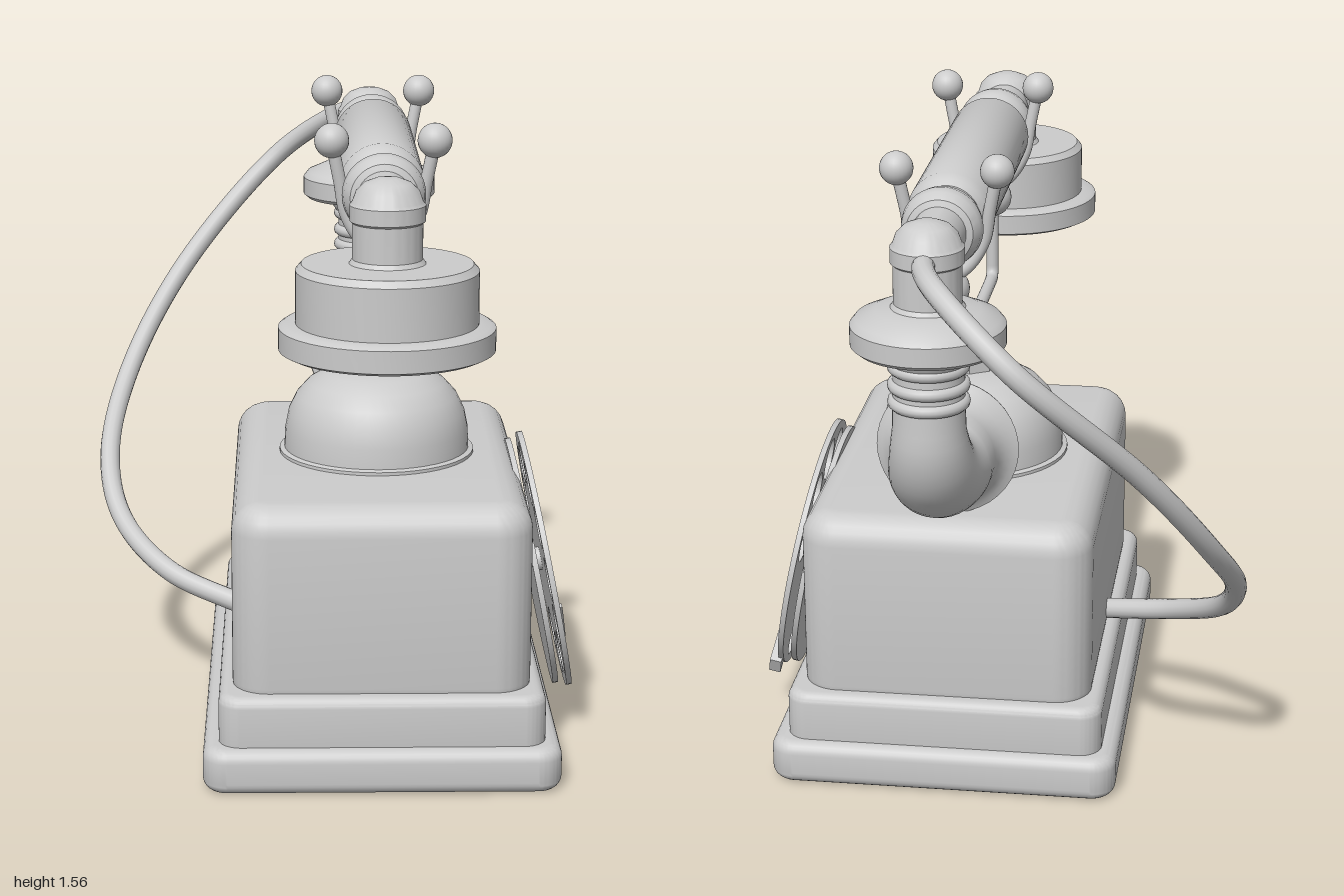
import * as THREE from 'three';
import { toCreasedNormals } from 'three/addons/utils/BufferGeometryUtils.js';

const material = new THREE.MeshStandardMaterial({ color: 0xcccccc });
const V = (x, y, z) => new THREE.Vector3(x, y, z);

function add(parent, name, geometry, x = 0, y = 0, z = 0) {
  const mesh = new THREE.Mesh(geometry, material);
  mesh.name = name;
  mesh.position.set(x, y, z);
  parent.add(mesh);
  return mesh;
}

// Turned part from [radius, height] pairs, listed bottom to top
function turned(profile, segments = 48) {
  const points = profile.map(([r, y]) => new THREE.Vector2(r, y));
  return toCreasedNormals(new THREE.LatheGeometry(points, segments), 0.6);
}

// Rounded slab standing on y = 0, with softened edges
function slab(w, h, d, corner, bevel) {
  const x = w / 2 - bevel, y = d / 2 - bevel, c = corner;
  const s = new THREE.Shape();
  s.moveTo(-x + c, -y);
  s.lineTo(x - c, -y).absarc(x - c, -y + c, c, -Math.PI / 2, 0);
  s.lineTo(x, y - c).absarc(x - c, y - c, c, 0, Math.PI / 2);
  s.lineTo(-x + c, y).absarc(-x + c, y - c, c, Math.PI / 2, Math.PI);
  s.lineTo(-x, -y + c).absarc(-x + c, -y + c, c, Math.PI, Math.PI * 1.5);
  const g = new THREE.ExtrudeGeometry(s, {
    depth: h - 2 * bevel, bevelSize: bevel, bevelThickness: bevel, bevelSegments: 6, curveSegments: 8,
  });
  g.rotateX(-Math.PI / 2).translate(0, bevel, 0);
  return toCreasedNormals(g, 0.5);
}

const wire = (points, radius, segments = 48) =>
  new THREE.TubeGeometry(new THREE.CatmullRomCurve3(points), segments, radius, 14);

// Flat plate in the dial plane, facing +x
function plate(shape, depth) {
  const g = new THREE.ExtrudeGeometry(shape, { depth, bevelEnabled: false, curveSegments: 32 });
  return toCreasedNormals(g.rotateY(Math.PI / 2), 0.5);
}

function disc(radius) {
  const s = new THREE.Shape();
  s.absarc(0, 0, radius, 0, Math.PI * 2);
  return s;
}

// Flared elbow: rings swept down, round a bend and forward, then back inside the mouth
function hornGeometry() {
  const rings = [[-0.625, 1.2, 0, 0.083], [-0.625, 1.06, 0, 0.083]];
  const R = 0.155;
  for (let i = 0; i <= 12; i++) {
    const a = (i / 12) * Math.PI / 2;
    rings.push([-0.47 - R * Math.cos(a), 1.0 - R * Math.sin(a), a, 0.085 + 0.038 * i / 12]);
  }
  const mouth = [[-0.42, 0.124], [-0.395, 0.13], [-0.375, 0.142], [-0.362, 0.158], [-0.355, 0.172],
    [-0.348, 0.17], [-0.35, 0.155], [-0.38, 0.125], [-0.43, 0.095], [-0.48, 0.06], [-0.49, 0]];
  mouth.forEach(([z, r]) => rings.push([z, 0.845, Math.PI / 2, r]));
  const N = 40, position = [], index = [];
  rings.forEach(([z, y, a, r], i) => {
    for (let j = 0; j < N; j++) {
      const t = (j / N) * Math.PI * 2, n = r * Math.sin(t);
      position.push(r * Math.cos(t), y - n * Math.sin(a), z - n * Math.cos(a));
      if (i === rings.length - 1) continue;
      const p = i * N + j, q = i * N + (j + 1) % N;
      index.push(p, p + N, q, q, p + N, q + N);
    }
  });
  const g = new THREE.BufferGeometry();
  g.setAttribute('position', new THREE.Float32BufferAttribute(position, 3));
  g.setIndex(index);
  return toCreasedNormals(g, 0.7);
}

export function createModel() {
  const model = new THREE.Group();
  model.name = 'telephone';
  const phone = new THREE.Group();
  phone.name = 'telephoneBody';
  phone.position.x = 0.11;
  model.add(phone);

  // Stepped case
  add(phone, 'baseSlab', slab(0.85, 0.11, 1.2, 0.03, 0.03), 0, 0, 0.07);
  add(phone, 'middleStep', slab(0.775, 0.15, 1.135, 0.03, 0.025), 0, 0.08, 0.07);
  add(phone, 'case', slab(0.71, 0.51, 1.06, 0.02, 0.07), 0, 0.17, 0.07);

  // Bell with nut and ball
  add(phone, 'bell', turned([[0, 0.67], [0.242, 0.67], [0.242, 0.688], [0.23, 0.692], [0.228, 0.74],
    [0.219, 0.785], [0.2, 0.825], [0.17, 0.858], [0.13, 0.882], [0.08, 0.893], [0, 0.897]]), 0, 0, 0.07);
  add(phone, 'bellNut', new THREE.CylinderGeometry(0.055, 0.055, 0.06, 6).toNonIndexed(), 0, 0.92, 0.07)
    .geometry.computeVertexNormals();
  add(phone, 'bellBall', new THREE.SphereGeometry(0.052, 28, 20), 0, 0.975, 0.07);

  // Cradle: a U-shaped rod with a fork at each end
  const cradle = new THREE.Group();
  cradle.name = 'cradle';
  phone.add(cradle);
  const rod = new THREE.CurvePath();
  const f = 0.455, b = -0.315, low = 1.01, c = 0.035;
  rod.add(new THREE.LineCurve3(V(0, 1.23, f), V(0, low + c, f)));
  rod.add(new THREE.QuadraticBezierCurve3(V(0, low + c, f), V(0, low, f), V(0, low, f - c)));
  rod.add(new THREE.LineCurve3(V(0, low, f - c), V(0, low, b + c)));
  rod.add(new THREE.QuadraticBezierCurve3(V(0, low, b + c), V(0, low, b), V(0, low + c, b)));
  rod.add(new THREE.LineCurve3(V(0, low + c, b), V(0, 1.23, b)));
  add(cradle, 'cradleRod', new THREE.TubeGeometry(rod, 160, 0.016, 14));
  for (const [z, lean] of [[f, 0.012], [b, -0.015]]) {
    add(cradle, 'forkJoint', new THREE.SphereGeometry(0.05, 28, 20), 0, 1.23, z);
    for (const side of [-1, 1]) {
      add(cradle, 'forkArm', wire([V(0, 1.25, z), V(side * 0.05, 1.29, z), V(side * 0.085, 1.35, z),
        V(side * 0.1, 1.43, z + lean / 2), V(side * 0.118, 1.52, z + lean)], 0.015, 32));
      add(cradle, 'forkBall', new THREE.SphereGeometry(0.04, 24, 18), side * 0.118, 1.523, z + lean);
    }
  }

  // Handset
  const handset = new THREE.Group();
  handset.name = 'handset';
  phone.add(handset);
  const handle = turned([[0, -0.64], [0.063, -0.64], [0.063, -0.455], [0.078, -0.45], [0.092, -0.43],
    [0.096, -0.405], [0.09, -0.375], [0.078, -0.36], [0.078, -0.33], [0.09, -0.315], [0.1, -0.295],
    [0.1, 0.41], [0.09, 0.43], [0.078, 0.445], [0.078, 0.475], [0.09, 0.49], [0.096, 0.52],
    [0.092, 0.545], [0.078, 0.565], [0.063, 0.57], [0.063, 0.76], [0, 0.76]]);
  add(handset, 'handle', handle.rotateX(Math.PI / 2), 0, 1.407, 0);
  const cap = [[0.078, 1.39], [0.084, 1.395], [0.084, 1.43], [0.078, 1.437],
    [0.07, 1.46], [0.052, 1.478], [0.027, 1.488], [0, 1.491]];
  add(handset, 'earpiece', turned([[0, 1.1], [0.225, 1.1], [0.241, 1.108], [0.241, 1.158], [0.23, 1.165],
    [0.203, 1.167], [0.203, 1.285], [0.19, 1.3], [0.085, 1.3], [0.078, 1.31], ...cap], 64), 0, 0, 0.76);
  add(handset, 'mouthpieceCollar', turned([[0, 1.15], [0.083, 1.15], [0.1, 1.175], [0.105, 1.195],
    [0.165, 1.195], [0.177, 1.205], [0.177, 1.25], [0.165, 1.265], [0.12, 1.285], [0.085, 1.29],
    [0.078, 1.3], ...cap], 64), 0, 0, -0.625);
  for (const y of [1.15, 1.105, 1.065])
    add(handset, 'neckRing', new THREE.TorusGeometry(0.08, 0.015, 12, 40).rotateX(Math.PI / 2), 0, y, -0.625);
  add(handset, 'mouthpieceHorn', hornGeometry());

  // Dial, leaning back against the side of the case
  const dial = new THREE.Group();
  dial.name = 'dial';
  dial.position.set(0.418, 0.39, 0.07);
  dial.rotation.z = 0.195;
  phone.add(dial);
  const fingerWheel = disc(0.326);
  for (let i = 0; i < 10; i++) {
    const a = THREE.MathUtils.degToRad(24 + 30 * i);
    const hole = new THREE.Path();
    hole.absarc(0.25 * Math.cos(a), 0.25 * Math.sin(a), 0.054, 0, Math.PI * 2, true);
    fingerWheel.holes.push(hole);
  }
  add(dial, 'fingerWheel', plate(fingerWheel, 0.014));
  add(dial, 'backPlate', plate(disc(0.315), 0.014), -0.032);
  add(dial, 'dialSpindle', new THREE.CylinderGeometry(0.03, 0.03, 0.04, 20).rotateZ(Math.PI / 2), -0.012);
  add(dial, 'dialHub', turned([[0, -0.13], [0.085, -0.13], [0.08, -0.08], [0.06, -0.05], [0.05, -0.025],
    [0, -0.025]]).rotateZ(-Math.PI / 2));
  const stop = new THREE.Shape([[0.065, -0.165], [0.085, -0.19], [0.2, -0.295], [0.22, -0.255], [0.14, -0.19],
    [0.08, -0.16]].map(([x, y]) => new THREE.Vector2(x, y)));
  add(dial, 'fingerStop', plate(stop, 0.03), 0.004);

  // Cord from the back of the handset round to the left of the case
  add(model, 'cord', wire([V(0.11, 1.407, -0.66), V(0.1, 1.407, -0.74), V(0.045, 1.39, -0.86),
    V(-0.13, 1.26, -0.972), V(-0.39, 0.98, -0.82), V(-0.54, 0.73, -0.63), V(-0.59, 0.54, -0.4),
    V(-0.55, 0.41, -0.235), V(-0.42, 0.315, -0.07), V(-0.22, 0.255, 0.04)], 0.026, 120));

  return model;
}
